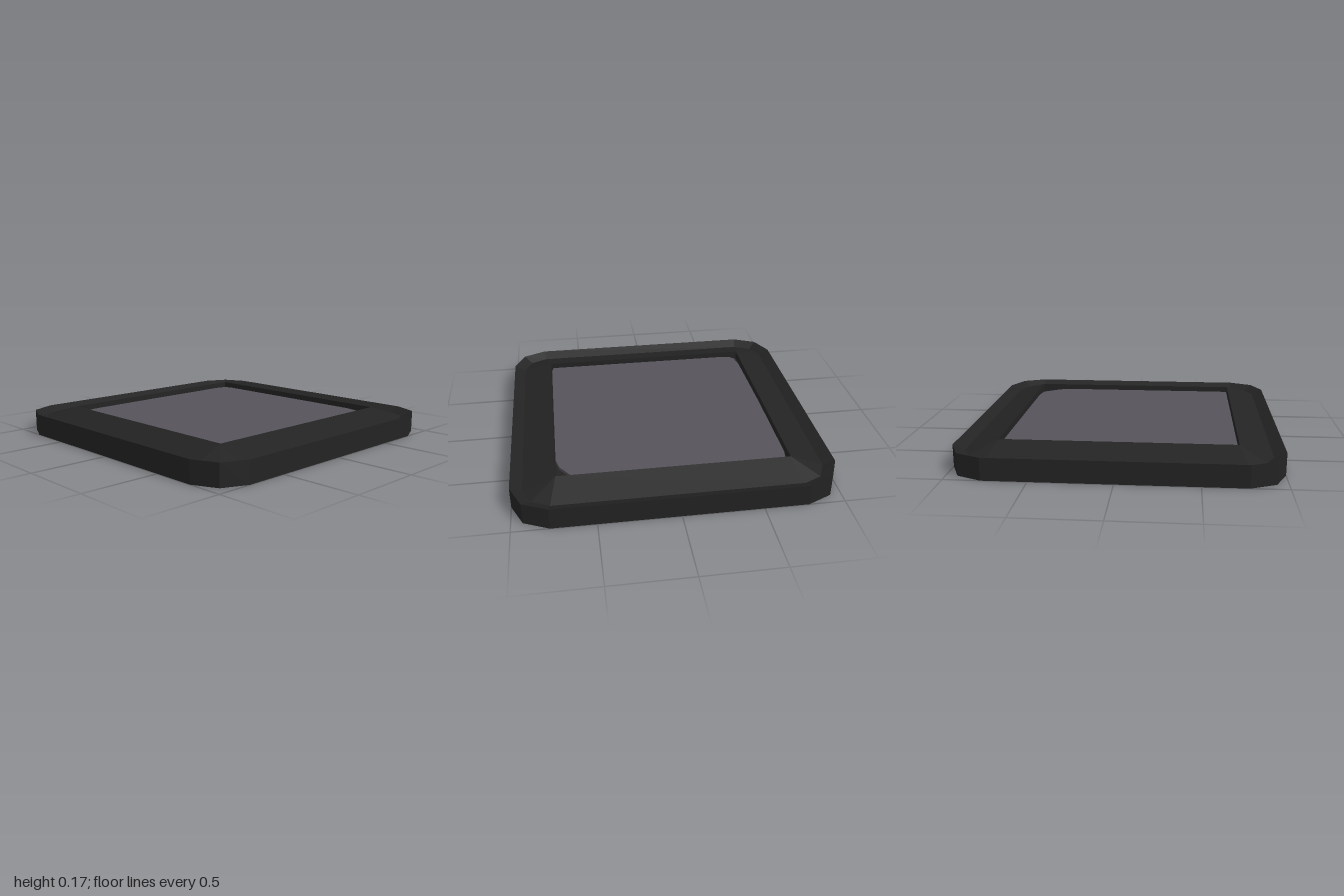
import * as THREE from 'three';

// Ring of 12 points: three per corner, turned through four quarters
function ring(y, corner) {
  const points = [];
  for (let q = 0; q < 4; q++) {
    for (const [cx, cz] of corner) {
      let x = cx, z = cz;
      for (let k = 0; k < q; k++) [x, z] = [-z, x];
      points.push(new THREE.Vector3(x, y, z));
    }
  }
  return points;
}

// Chamfered corner, and square corner with its three points together
const chamfer = (r, mid, start) => [[r, start], [mid, mid], [start, r]];
const square = (r) => [[r, r], [r, r], [r, r]];

// Joins rings with flat faces, leaving out collapsed ones
function loft(rings) {
  const pos = [];
  const tri = new THREE.Triangle();
  const face = (a, b, c) => {
    if (tri.set(a, b, c).getArea() > 1e-7) for (const p of [a, b, c]) pos.push(p.x, p.y, p.z);
  };
  for (let r = 0; r < rings.length - 1; r++) {
    const a = rings[r], b = rings[r + 1];
    for (let i = 0; i < a.length; i++) {
      const j = (i + 1) % a.length;
      face(a[i], b[i], b[j]);
      face(a[i], b[j], a[j]);
    }
  }
  const geometry = new THREE.BufferGeometry();
  geometry.setAttribute('position', new THREE.Float32BufferAttribute(pos, 3));
  geometry.computeVertexNormals();
  return geometry;
}

export function createModel() {
  const model = new THREE.Group();
  model.name = 'framedPanel';

  const black = new THREE.MeshStandardMaterial({ color: 0x232323 });
  black.name = 'frameBlack';
  const grey = new THREE.MeshStandardMaterial({ color: 0x57535a });
  grey.name = 'panelGrey';

  // Casing: base, side wall, sunken groove, raised bezel and recess
  const outer = chamfer(1, 0.93, 0.775);
  const casing = new THREE.Mesh(loft([
    ring(0, square(0)),
    ring(0, outer),
    ring(0.14, outer),
    ring(0.107, chamfer(0.927, 0.875, 0.765)),
    ring(0.167, square(0.726)),
    ring(0.11, square(0.726)),
    ring(0.11, square(0)),
  ]), black);
  casing.name = 'casing';
  model.add(casing);

  // Panel: thin plate with uneven corners lying in the recess
  const outline = [
    [-0.60, 0.722], [-0.67, 0.712], [-0.70, 0.68], [-0.715, 0.58],
    [-0.722, 0], [-0.72, -0.62], [-0.705, -0.705], [-0.64, -0.722],
    [0.52, -0.722], [0.615, -0.705], [0.70, -0.59], [0.722, -0.51],
    [0.722, 0.67], [0.71, 0.722],
  ];
  const shape = new THREE.Shape(outline.map(([x, z]) => new THREE.Vector2(x, -z)));
  const plate = new THREE.ExtrudeGeometry(shape, { depth: 0.02, bevelEnabled: false });
  plate.rotateX(-Math.PI / 2);
  const panel = new THREE.Mesh(plate, grey);
  panel.name = 'panel';
  panel.position.y = 0.111;
  model.add(panel);

  return model;
}
